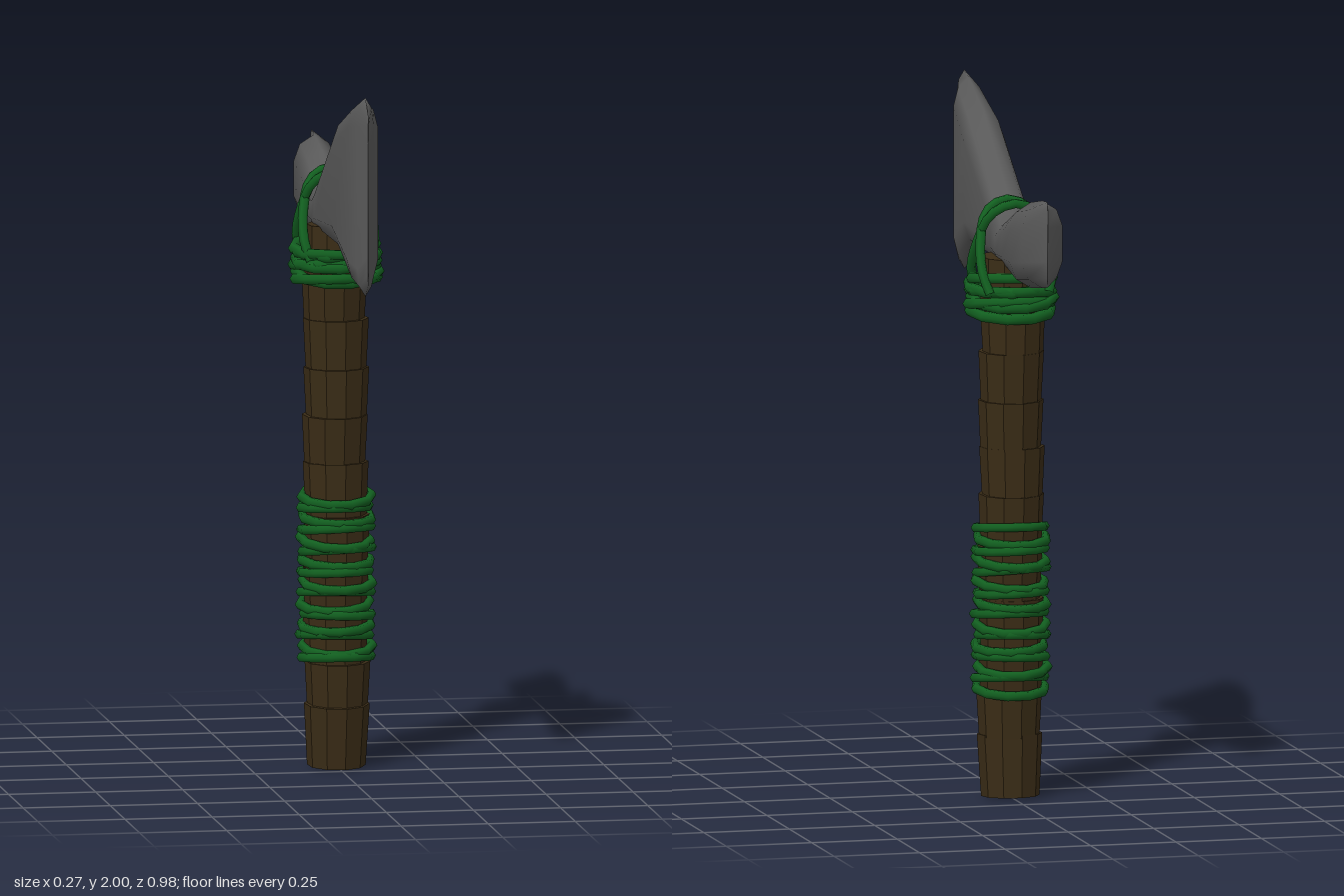
import * as THREE from 'three';

const wood = new THREE.MeshStandardMaterial({ color: 0x3a2c16, flatShading: true });
const cord = new THREE.MeshStandardMaterial({ color: 0x126020 });
const steel = new THREE.MeshStandardMaterial({ color: 0x5a5a5a });

function add(parent, name, geometry, material) {
  const mesh = new THREE.Mesh(geometry, material);
  mesh.name = name;
  parent.add(mesh);
  return mesh;
}

// Double-sided head: eight-sided cross-sections lofted from back to front
function headGeometry() {
  const sections = [ // z, bottom, top, half width
    [-0.49, 1.52, 1.765, 0.002], [-0.43, 1.51, 1.76, 0.06], [-0.3, 1.49, 1.735, 0.06],
    [-0.2, 1.515, 1.685, 0.06], [-0.13, 1.525, 1.655, 0.06], [-0.08, 1.525, 1.69, 0.06],
    [0.22, 1.52, 1.915, 0.06], [0.39, 1.45, 1.985, 0.045],
    [0.44, 1.43, 2.0, 0.024], [0.49, 1.47, 1.955, 0.002],
  ];
  const pos = [], index = [], n = 8;
  for (const [z, y0, y1, w] of sections) {
    const soft = Math.min(0.08, (y1 - y0) * 0.3), s = soft * 0.35;
    const ring = [[0, y1], [-0.7 * w, y1 - s], [-w, y1 - soft], [-w, y0 + soft],
      [-0.7 * w, y0 + s], [0, y0], [0.7 * w, y0 + s], [w, y0 + soft]];
    ring.splice(6, 2, [0.7 * w, y0 + s], [w, y0 + soft], [w, y1 - soft], [0.7 * w, y1 - s]);
    for (const [x, y] of ring) pos.push(x - 0.008, y, z);
  }
  const count = pos.length / 3 / sections.length;
  for (let i = 0; i < sections.length - 1; i++) {
    for (let j = 0; j < count; j++) {
      const a = i * count + j, b = i * count + (j + 1) % count;
      index.push(a, b, a + count, b, b + count, a + count);
    }
  }
  // Close both thin cutting edges
  const last = (sections.length - 1) * count;
  for (let j = 1; j < count - 1; j++) {
    index.push(0, j + 1, j, last, last + j, last + j + 1);
  }
  const g = new THREE.BufferGeometry();
  g.setAttribute('position', new THREE.Float32BufferAttribute(pos, 3));
  g.setIndex(index);
  g.computeVertexNormals();
  return g;
}

// A stack of tilted cord rings
function addWrap(parent, name, { count, y0, y1, radius, tube, z, tilt }) {
  const wrap = new THREE.Group();
  wrap.name = name;
  for (let i = 0; i < count; i++) {
    const g = new THREE.TorusGeometry(radius, tube, 6, 10);
    g.rotateX(Math.PI / 2);
    g.rotateY(i * 0.5);
    const ring = add(wrap, 'cordRing', g, cord);
    ring.position.set(Math.sin(i * 2.1) * 0.004, y0 + (y1 - y0) * i / (count - 1), z + Math.cos(i * 1.7) * 0.005);
    ring.rotation.set((i % 2 ? 1 : -1) * tilt * (0.75 + 0.25 * Math.sin(i * 1.3)), 0, Math.sin(i * 2.7) * 0.04);
  }
  parent.add(wrap);
}

export function createModel() {
  const model = new THREE.Group();
  model.name = 'axe';

  // Handle: stepped segments, each flaring a little toward its top
  const handle = new THREE.Group();
  handle.name = 'handle';
  const levels = [0.008, 0.18, 0.3, 0.43, 0.57, 0.72, 0.87, 1.005, 1.14, 1.28, 1.42, 1.55];
  for (let i = 0; i < levels.length - 1; i++) {
    const h = levels[i + 1] - levels[i], t = i / 10;
    const top = i === 10 ? 0.084 : 0.093;
    const g = new THREE.CylinderGeometry(top, i ? 0.086 : 0.083, h + 0.006, 10);
    g.rotateY(0.15);
    const part = add(handle, 'handleSegment', g, wood);
    part.position.set(Math.sin(i * 1.9) * 0.003, (levels[i] + levels[i + 1]) / 2,
      i === 10 ? -0.112 : -0.1 - 0.024 * t);
    part.rotation.x = i ? Math.sin(i * 2.3) * 0.025 : 0.05;
  }
  model.add(handle);

  add(model, 'axeHead', headGeometry(), steel);

  // Cord grip and the binding below the head
  addWrap(model, 'gripWrap', { count: 16, y0: 0.315, y1: 0.775, radius: 0.1, tube: 0.014, z: -0.11, tilt: 0.15 });
  addWrap(model, 'neckWrap', { count: 6, y0: 1.4, y1: 1.49, radius: 0.118, tube: 0.016, z: -0.108, tilt: 0.16 });

  // Two crossed loops passing over the head
  for (const side of [1, -1]) {
    const half = [[0.085, 1.46, -0.09], [0.1, 1.51, -0.068], [0.097, 1.59, -0.022], [0.065, 1.68, 0.026]];
    const point = ([x, y, z], m) => new THREE.Vector3(x * m, y, -0.118 + z * side);
    const path = new THREE.CatmullRomCurve3([
      ...half.map((p) => point(p, -1)), point([0, 1.71, 0.042], 1),
      ...half.slice().reverse().map((p) => point(p, 1)),
    ]);
    add(model, 'crossLoop', new THREE.TubeGeometry(path, 20, 0.014, 6), cord);
  }
  return model;
}
